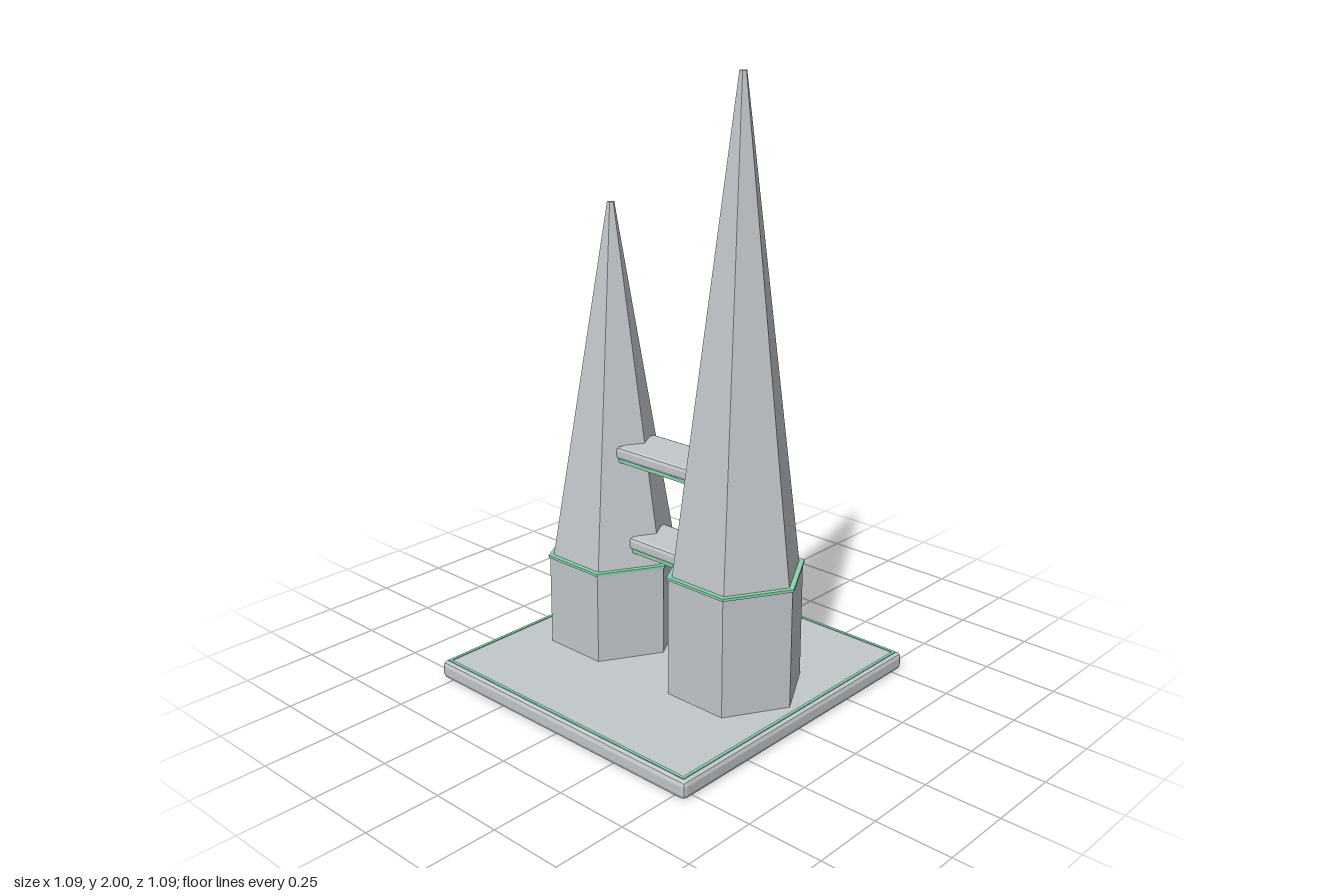
import * as THREE from 'three';
import { RoundedBoxGeometry } from 'three/addons/geometries/RoundedBoxGeometry.js';

const stone = new THREE.MeshStandardMaterial({ color: 0xc2c7cb, flatShading: true });
stone.name = 'pale grey stone';
const trim = new THREE.MeshStandardMaterial({ color: 0x86d4ac, flatShading: true });
trim.name = 'mint green trim';

function add(parent, name, geometry, material, x = 0, y = 0, z = 0) {
  const mesh = new THREE.Mesh(geometry, material);
  mesh.name = name;
  mesh.position.set(x, y, z);
  parent.add(mesh);
  return mesh;
}

// Flat faceted prism or frustum between two heights
function frustum(parent, name, rTop, rBottom, y0, y1, sides, material) {
  return add(parent, name, new THREE.CylinderGeometry(rTop, rBottom, y1 - y0, sides), material, 0, (y0 + y1) / 2, 0);
}

function tower(name, z, shoulder, top) {
  const group = new THREE.Group();
  group.name = name;
  group.position.z = z;
  const foot = 0.213, tip = 0.012;
  frustum(group, 'towerBase', 0.225, 0.225, 0.05, shoulder, 6, stone);
  frustum(group, 'shoulderTrim', 0.23, 0.23, shoulder - 0.003, shoulder + 0.006, 6, trim);
  frustum(group, 'spire', tip, foot, shoulder, top, 6, stone);

  // Tapered fin running up the middle of the back left face
  const onFace = (t) => {
    const apothem = (foot + (tip - foot) * t) * Math.cos(Math.PI / 6);
    return new THREE.Vector3(apothem * 0.5, shoulder + (top - shoulder) * t, -apothem * 0.866);
  };
  const a = onFace(0.01), b = onFace(0.695);
  const fin = add(group, 'fin', new THREE.CylinderGeometry(0.005, 0.017, a.distanceTo(b), 6), trim);
  fin.position.copy(a).add(b).multiplyScalar(0.5);
  fin.quaternion.setFromUnitVectors(new THREE.Vector3(0, 1, 0), b.clone().sub(a).normalize());
  return group;
}

// Chamfered walkway with a trim plate below
function bridge(name, width, z0, z1, top) {
  const group = new THREE.Group();
  group.name = name;
  const z = (z0 + z1) / 2, length = z1 - z0;
  add(group, 'walkway', new RoundedBoxGeometry(width, 0.043, length, 1, 0.012), stone, 0, top - 0.0215, z);
  add(group, 'underTrim', new THREE.BoxGeometry(width - 0.016, 0.012, length - 0.016), trim, 0, top - 0.048, z);
  return group;
}

// Thin square frame laid on the base
function squareFrame(outer, inner, height) {
  const square = (path, h) => path.moveTo(-h, -h).lineTo(h, -h).lineTo(h, h).lineTo(-h, h).closePath();
  const shape = square(new THREE.Shape(), outer);
  shape.holes.push(square(new THREE.Path(), inner));
  return new THREE.ExtrudeGeometry(shape, { depth: height, bevelEnabled: false }).rotateX(-Math.PI / 2);
}

export function createModel() {
  const model = new THREE.Group();
  model.name = 'twinSpires';

  // Base slab
  add(model, 'baseSlab', new RoundedBoxGeometry(1.09, 0.06, 1.09, 1, 0.016), stone, 0, 0.03, 0);
  add(model, 'baseTrim', squareFrame(0.529, 0.519, 0.004), trim, 0, 0.059, 0);

  // Towers and walkways
  model.add(tower('tallTower', 0.27, 0.457, 2));
  model.add(tower('shortTower', -0.27, 0.371, 1.56));
  model.add(bridge('upperBridge', 0.18, -0.173, 0.148, 0.785));
  model.add(bridge('lowerBridge', 0.17, -0.122, 0.102, 0.482));

  // Small tiered spire in the back left corner
  const marker = new THREE.Group();
  marker.name = 'cornerMarker';
  marker.position.set(0.51, 0, -0.51);
  marker.rotation.y = Math.PI / 4;
  frustum(marker, 'markerSpire', 0.001, 0.021, 0.058, 0.23, 4, stone);
  for (let i = 0; i < 4; i++) {
    const r = 0.025 - i * 0.0042, y = 0.06 + i * 0.024;
    frustum(marker, 'markerTier', r * 0.65, r, y, y + 0.022, 4, trim);
  }
  model.add(marker);
  return model;
}
